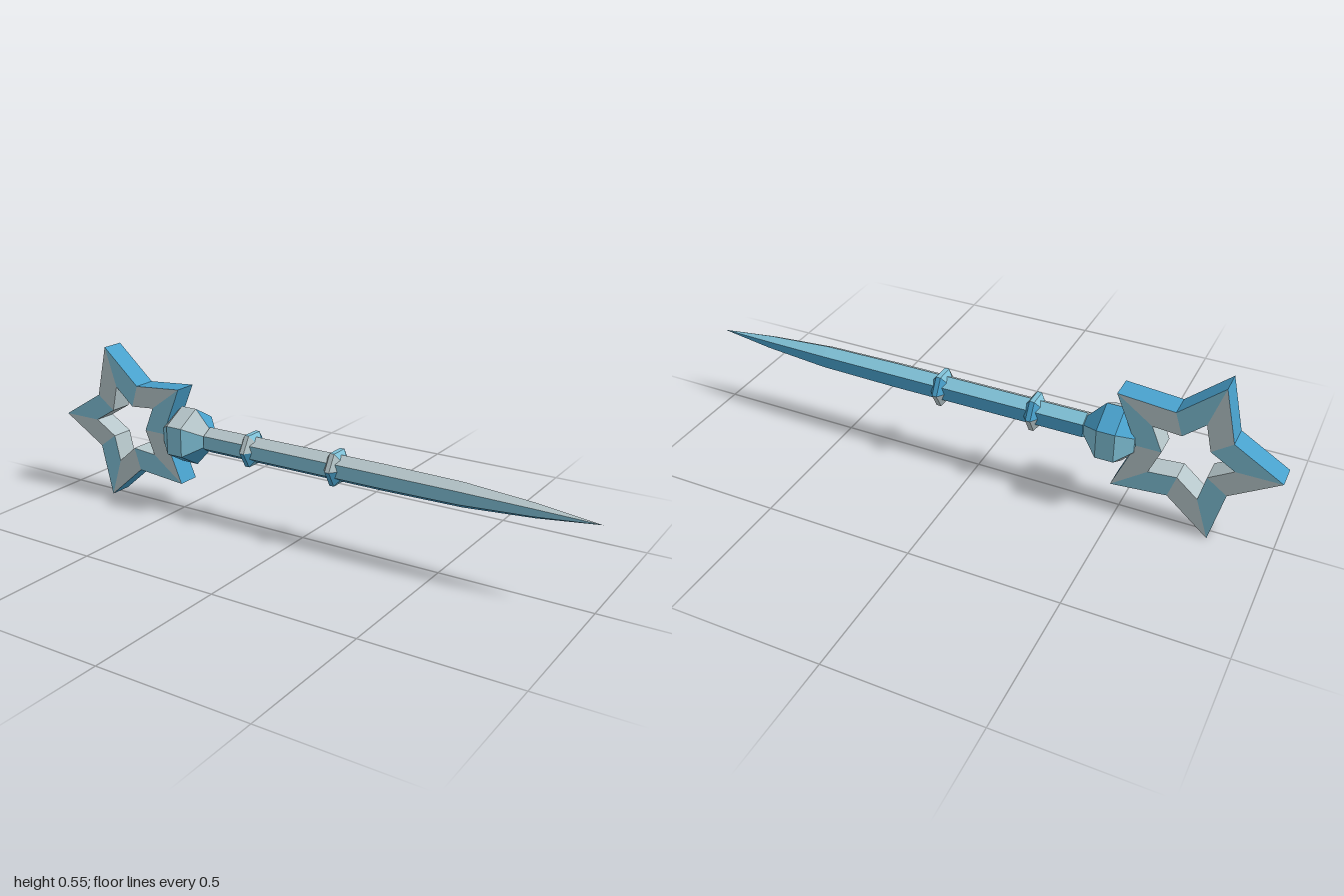
import * as THREE from 'three';

const CY = 0.28; // height of the wand's axis

const makeMaterial = (name, color) => {
  const m = new THREE.MeshStandardMaterial({ color, flatShading: true });
  m.name = name;
  return m;
};

// Collects polygons by colour and turns them into one mesh with groups
function facetMesh(name, palette, polygons) {
  const positions = [];
  const geometry = new THREE.BufferGeometry();
  palette.forEach((_, index) => {
    const start = positions.length / 3;
    for (const { colour, points } of polygons) {
      if (colour !== index) continue;
      for (let i = 1; i < points.length - 1; i++) {
        for (const p of [points[0], points[i], points[i + 1]]) positions.push(...p);
      }
    }
    geometry.addGroup(start, positions.length / 3 - start, index);
  });
  geometry.setAttribute('position', new THREE.Float32BufferAttribute(positions, 3));
  geometry.computeVertexNormals();
  const mesh = new THREE.Mesh(geometry, palette);
  mesh.name = name;
  return mesh;
}

// Six-sided solid along x; profile is [x, radius], one colour per side
function hexRod(name, palette, profile, sideColours, firstAngle) {
  const polygons = [];
  const point = ([x, r], k) => {
    const a = firstAngle + k * Math.PI / 3;
    return [x, r * Math.sin(a), r * Math.cos(a)];
  };
  for (let k = 0; k < 6; k++) {
    for (let i = 0; i < profile.length - 1; i++) {
      const p = profile[i], q = profile[i + 1];
      const points = [point(p, k)];
      if (q[1] > 0) points.push(point(q, k));
      points.push(point(q, k + 1));
      if (p[1] > 0) points.push(point(p, k + 1));
      polygons.push({ colour: sideColours[k], points });
    }
  }
  return facetMesh(name, palette, polygons);
}

// Flat five-pointed star with a star-shaped hole
function hollowStar(palette, R, r, holeScale, depth) {
  const polygons = [];
  const point = (k, scale, z) => {
    const a = Math.PI + k * Math.PI / 5;
    const rad = (k % 2 ? r : R) * scale;
    return [rad * Math.cos(a), rad * Math.sin(a), z];
  };
  const h = depth / 2;
  for (let k = 0; k < 10; k++) {
    const [a, b, c, d] = [[k, 1], [k + 1, 1], [k + 1, holeScale], [k, holeScale]];
    const at = (z, ...corners) => corners.map(([i, s]) => point(i, s, z));
    const colour = k % 2 ? 1 : 0;
    polygons.push({ colour, points: at(h, a, b, c, d) });
    polygons.push({ colour, points: at(-h, d, c, b, a) });
    polygons.push({ colour: 2, points: [...at(-h, a, b), ...at(h, b, a)] }); // outer wall
    polygons.push({ colour: 0, points: [...at(h, d, c), ...at(-h, c, d)] }); // hole wall
  }
  return facetMesh('star', palette, polygons);
}

export function createModel() {
  const palette = [
    makeMaterial('paleGrey', 0xb6c6ca),
    makeMaterial('lightBlue', 0x7fc0d6),
    makeMaterial('blue', 0x48a0cb),
  ];
  const group = new THREE.Group();
  group.name = 'starWand';

  // Star head
  const star = hollowStar(palette, 0.289, 0.162, 0.5, 0.08);
  star.position.set(-0.711, CY, 0);
  group.add(star);

  // Side order: front, front top, back top, back, back bottom, front bottom
  const hub = hexRod('hub', palette,
    [[-0.545, 0], [-0.545, 0.05], [-0.495, 0.1], [-0.435, 0.1], [-0.375, 0.035], [-0.375, 0]],
    [1, 0, 2, 1, 0, 2], -Math.PI / 6);
  hub.position.y = CY;
  group.add(hub);

  // Shaft tapering to a point
  const shaft = hexRod('shaft', palette,
    [[-0.375, 0], [-0.375, 0.045], [0.3, 0.045], [0.57, 0.041], [0.8, 0.024], [1, 0]],
    [1, 0, 1, 2, 1, 2], -Math.PI / 6);
  shaft.position.y = CY;
  group.add(shaft);

  // Two collars, turned so that corners point to the front and back
  for (const x of [-0.2, 0.13]) {
    const collar = hexRod('collar', palette,
      [[-0.03, 0.03], [-0.008, 0.063], [0.008, 0.063], [0.03, 0.03]],
      [0, 1, 2, 0, 1, 2], 0);
    collar.position.set(x, CY, 0);
    group.add(collar);
  }
  return group;
}
